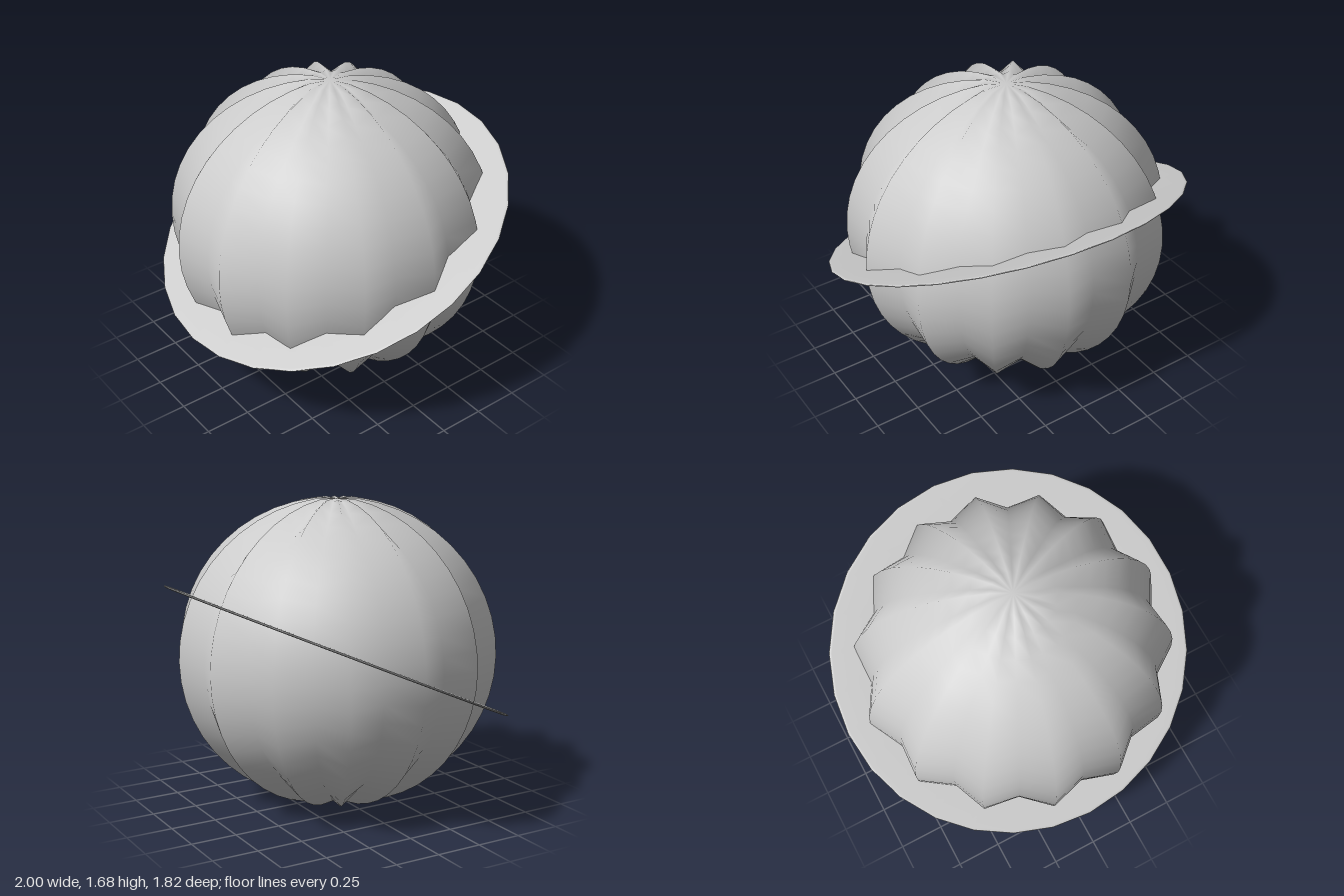
import * as THREE from 'three';
import { mergeVertices } from 'three/addons/utils/BufferGeometryUtils.js';

const CENTER_Y = 0.845;
const LOBES = 14;

// Ellipsoid whose every second meridian is pulled inwards to form ribs
function ribbedGlobe() {
  let geo = new THREE.SphereGeometry(1, LOBES * 2, 24);
  geo.deleteAttribute('uv');
  geo.deleteAttribute('normal');
  geo = mergeVertices(geo, 1e-4);
  const p = geo.attributes.position;
  const v = new THREE.Vector3();
  for (let i = 0; i < p.count; i++) {
    v.fromBufferAttribute(p, i);
    const flat = Math.hypot(v.x, v.z);
    const valley = (1 - Math.cos(LOBES * Math.atan2(v.z, v.x))) / 2;
    const depth = 0.09 * THREE.MathUtils.smoothstep(flat, 0.02, 0.5);
    const k = flat < 1e-3 ? 0.99 : 1 - depth * valley;
    p.setXYZ(i, v.x * k * 0.87, v.y * k * 0.845, v.z * k * 0.87);
  }
  geo.computeVertexNormals();
  return geo;
}

export function createModel() {
  const group = new THREE.Group();
  const grey = new THREE.MeshStandardMaterial({ color: 0xcccccc });
  grey.name = 'plain grey';

  const globe = new THREE.Mesh(ribbedGlobe(), grey);
  globe.name = 'ribbedGlobe';
  globe.position.y = CENTER_Y;
  group.add(globe);

  // Thin flat ring with a rounded rim, tilted down towards the front
  const t = 0.006;
  const profile = [
    [0.7, -t], [0.985, -t], [0.997, -t * 0.6], [1, 0],
    [0.997, t * 0.6], [0.985, t], [0.7, t], [0.7, -t],
  ].map(([x, y]) => new THREE.Vector2(x, y));
  const ring = new THREE.Mesh(new THREE.LatheGeometry(profile, 28), grey);
  ring.name = 'tiltedRing';
  ring.position.y = CENTER_Y;
  ring.rotation.x = THREE.MathUtils.degToRad(24.2);
  group.add(ring);

  return group;
}
